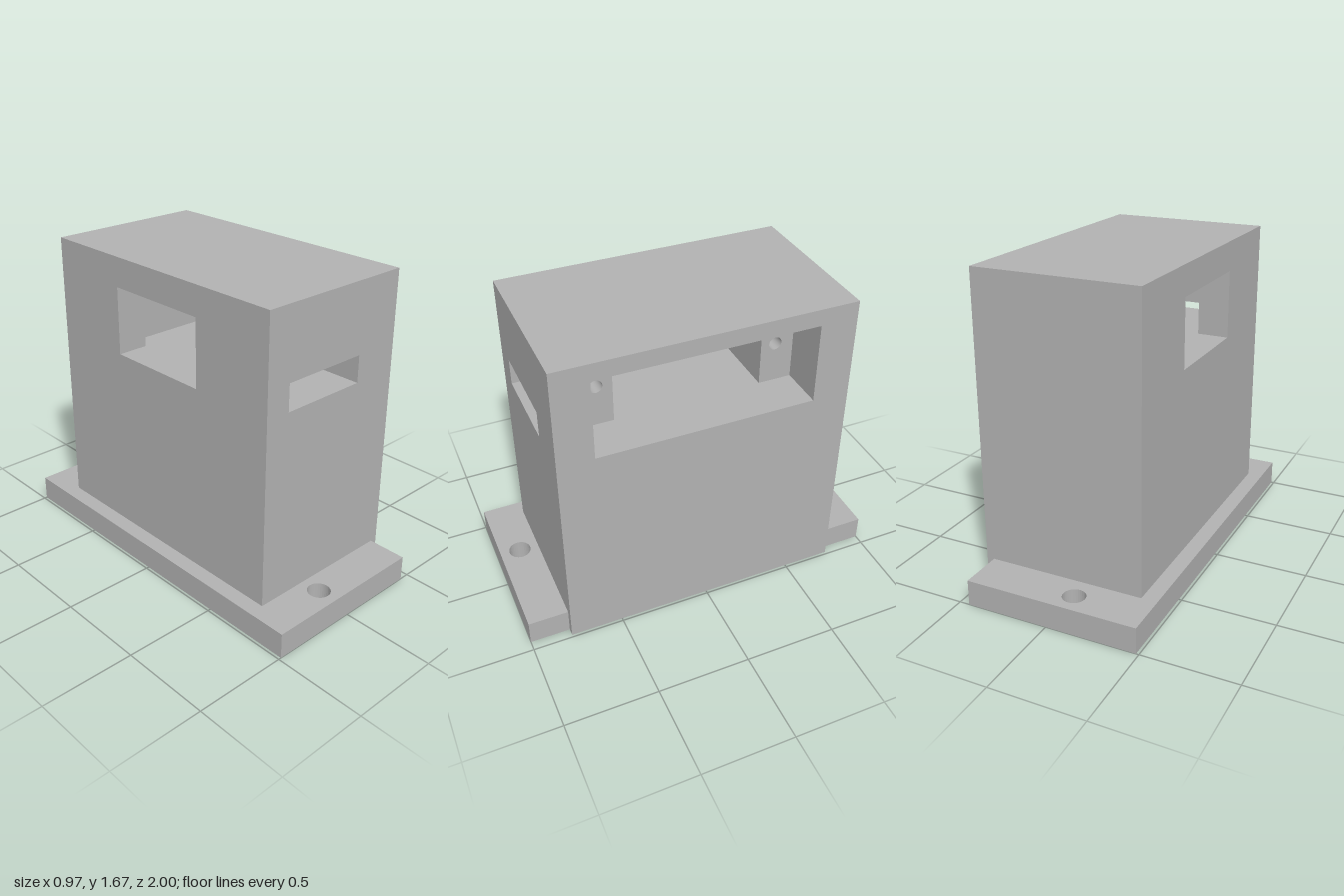
import * as THREE from 'three';
import { mergeGeometries } from 'three/addons/utils/BufferGeometryUtils.js';

const plastic = new THREE.MeshStandardMaterial({ color: 0xb2b2b2, side: THREE.DoubleSide });
plastic.name = 'grey plastic';

// main extents: body, pocket in the +x face, inner chamber, rear window, front slot
const X0 = -0.4, X1 = 0.485, Z0 = -0.765, Z1 = 0.785, H = 1.675;
const floor = 1.15, ceil = 1.585;
const pocketX = 0.24, pocketZ0 = -0.565, pocketZ1 = 0.595;
const innerX = -0.23, innerZ0 = -0.385, innerZ1 = 0.41;
const winZ0 = -0.285, winZ1 = 0.31, winTop = 1.515;
const slotX0 = -0.26, slotX1 = 0.225, slotTop = 1.295;
const screwZ = [-0.465, 0.495], screwY = 1.37, screwR = 0.035, screwDepth = 0.3;

function rectPath(path, u0, u1, v0, v1) {
  path.moveTo(u0, v0).lineTo(u1, v0).lineTo(u1, v1).lineTo(u0, v1).closePath();
  return path;
}
const rectHole = (...r) => rectPath(new THREE.Path(), ...r);
const roundHole = (u, v, r) => new THREE.Path().absarc(u, v, r, 0, Math.PI * 2, true);

// flat wall facing sign * axis; (u, v) is (z, y) for x, (x, z) for y, (x, y) for z
function panel(axis, sign, at, u0, u1, v0, v1, holes = []) {
  const shape = rectPath(new THREE.Shape(), u0, u1, v0, v1);
  shape.holes.push(...holes);
  const geo = new THREE.ShapeGeometry(shape, 16);
  const p = geo.attributes.position;
  for (let i = 0; i < p.count; i++) {
    const u = p.getX(i), v = p.getY(i);
    if (axis === 'x') p.setXYZ(i, at, v, u);
    else if (axis === 'y') p.setXYZ(i, u, at, v);
    else p.setXYZ(i, u, v, at);
  }
  if ((axis === 'z') !== (sign > 0)) geo.index.array.reverse();
  geo.computeVertexNormals();
  return geo;
}

function add(group, name, geometry) {
  const mesh = new THREE.Mesh(geometry, plastic);
  mesh.name = name;
  group.add(mesh);
  return mesh;
}

export function createModel() {
  const model = new THREE.Group();
  model.name = 'sensorHousing';

  // mounting plate with two bolt holes
  const plate = rectPath(new THREE.Shape(), -0.485, 0.445, -1, 1);
  for (const s of [-1, 1]) plate.holes.push(roundHole(-0.1, s * 0.89, 0.06));
  const plateGeo = new THREE.ExtrudeGeometry(plate, { depth: 0.138, bevelEnabled: false, curveSegments: 16 });
  add(model, 'mountingPlate', plateGeo.rotateX(-Math.PI / 2));

  // outer shell
  add(model, 'bodyShell', mergeGeometries([
    panel('x', 1, X1, Z0, Z1, 0, H, [rectHole(pocketZ0, pocketZ1, floor, ceil)]),
    panel('x', -1, X0, Z0, Z1, 0, H, [rectHole(winZ0, winZ1, floor, winTop)]),
    panel('z', 1, Z1, X0, X1, 0, H, [rectHole(slotX0, slotX1, floor, slotTop)]),
    panel('z', -1, Z0, X0, X1, 0, H),
    panel('y', 1, H, X0, X1, Z0, Z1),
    panel('y', -1, 0, 0.445, X1, Z0, Z1),
  ]));

  // wide pocket opening with a screw post at each end
  add(model, 'pocket', mergeGeometries([
    panel('z', 1, pocketZ0, pocketX, X1, floor, ceil),
    panel('z', -1, pocketZ1, pocketX, X1, floor, ceil),
    panel('y', 1, floor, pocketX, X1, pocketZ0, pocketZ1),
    panel('y', -1, ceil, pocketX, X1, pocketZ0, pocketZ1),
  ]));
  add(model, 'screwPosts', mergeGeometries([
    panel('x', 1, pocketX, pocketZ0, innerZ0, floor, ceil, [roundHole(screwZ[0], screwY, screwR)]),
    panel('x', 1, pocketX, innerZ1, pocketZ1, floor, ceil, [roundHole(screwZ[1], screwY, screwR)]),
  ]));

  // blind screw holes
  for (const z of screwZ) {
    const wall = new THREE.CylinderGeometry(screwR, screwR, screwDepth, 32, 1, true);
    wall.rotateZ(Math.PI / 2);
    wall.index.array.reverse();
    wall.computeVertexNormals();
    const end = new THREE.CircleGeometry(screwR, 32).rotateY(Math.PI / 2).translate(-screwDepth / 2, 0, 0);
    add(model, 'screwHole', mergeGeometries([wall, end]))
      .position.set(pocketX - screwDepth / 2, screwY, z);
  }

  // inner chamber between the posts
  add(model, 'innerChamber', mergeGeometries([
    panel('z', 1, innerZ0, innerX, pocketX, floor, ceil),
    panel('z', -1, innerZ1, innerX, pocketX, slotTop, ceil),
    panel('z', -1, innerZ1, slotX1, pocketX, floor, slotTop),
    panel('y', 1, floor, innerX, pocketX, innerZ0, innerZ1),
    panel('y', -1, ceil, innerX, pocketX, innerZ0, innerZ1),
    panel('x', 1, innerX, innerZ0, winZ0, floor, ceil),
    panel('x', 1, innerX, winZ1, innerZ1, floor, ceil),
    panel('x', 1, innerX, winZ0, winZ1, winTop, ceil),
  ]));

  // window through the far wall
  add(model, 'windowTunnel', mergeGeometries([
    panel('z', 1, winZ0, X0, innerX, floor, winTop),
    panel('z', -1, winZ1, X0, innerX, floor, winTop),
    panel('y', 1, floor, X0, innerX, winZ0, winZ1),
    panel('y', -1, winTop, X0, innerX, winZ0, winZ1),
  ]));

  // cable slot from the front into the chamber
  add(model, 'cableSlot', mergeGeometries([
    panel('x', 1, slotX0, innerZ1, Z1, floor, slotTop),
    panel('x', -1, slotX1, innerZ1, Z1, floor, slotTop),
    panel('y', 1, floor, slotX0, slotX1, innerZ1, Z1),
    panel('y', -1, slotTop, slotX0, slotX1, innerZ1, Z1),
    panel('z', 1, innerZ1, slotX0, innerX, floor, slotTop),
  ]));

  return model;
}
